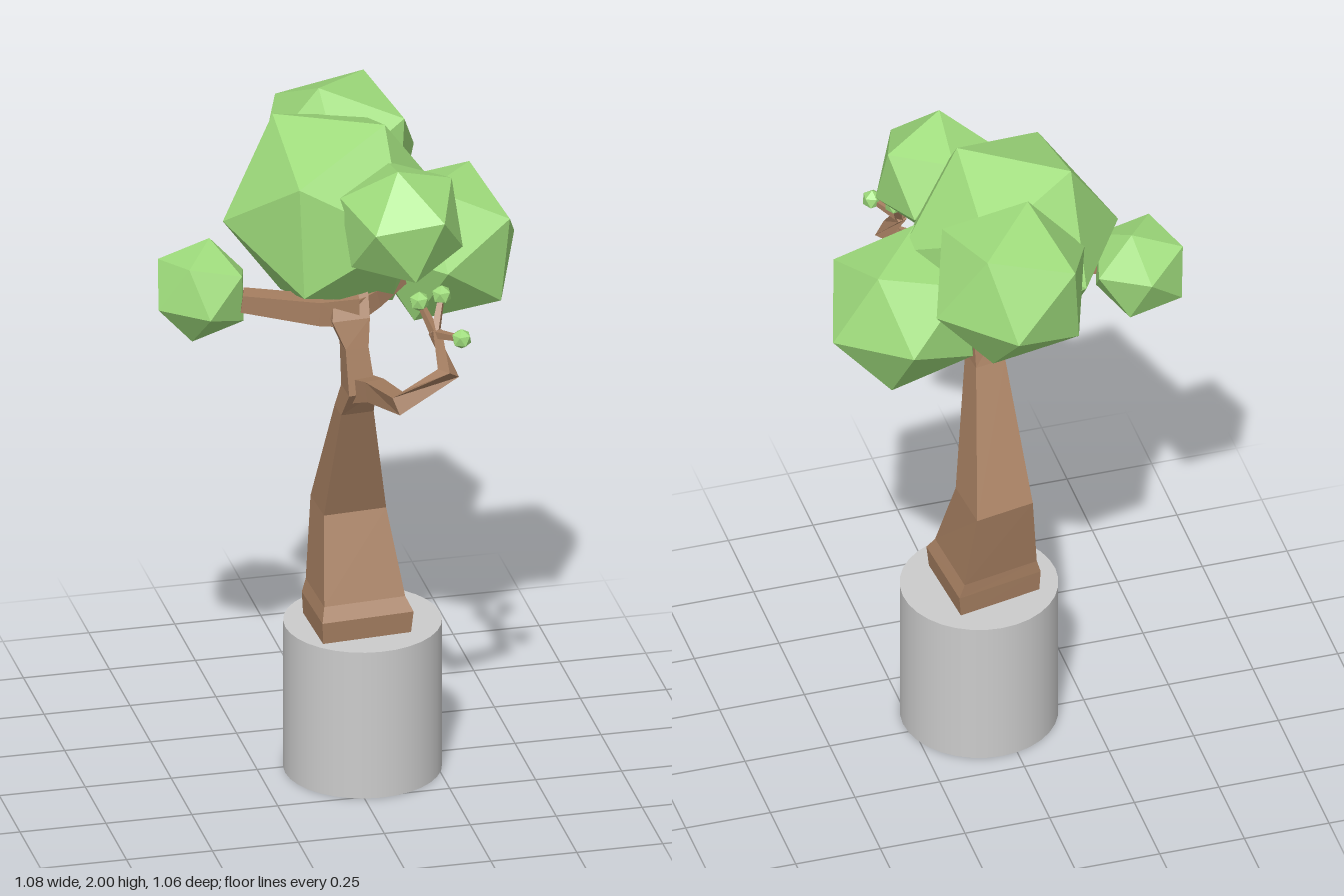
import * as THREE from 'three';

const vec = (a) => new THREE.Vector3(a[0], a[1], a[2]);

// Lofts four-sided rings along a path. Section: [x, y, z, halfWidth, halfDepth]
function loft(sections, { ref = [0, 1, 0], shape = [[-1, -1], [1, -1], [1, 1], [-1, 1]], fixed } = {}) {
  const pts = sections.map(vec), pos = [], idx = [], n = shape.length;
  pts.forEach((p, k) => {
    const t = fixed ? vec(fixed) : new THREE.Vector3();
    if (!fixed) {
      if (k > 0) t.add(p.clone().sub(pts[k - 1]).normalize());
      if (k < pts.length - 1) t.add(pts[k + 1].clone().sub(p).normalize());
    }
    t.normalize();
    const u = t.clone().cross(vec(ref)).normalize();
    const v = t.clone().cross(u);
    for (const [a, b] of shape) {
      const q = p.clone().addScaledVector(u, a * sections[k][3]).addScaledVector(v, b * sections[k][4]);
      pos.push(q.x, q.y, q.z);
    }
    if (k === 0) return;
    for (let i = 0; i < n; i++) {
      const a = (k - 1) * n + i, b = (k - 1) * n + (i + 1) % n;
      idx.push(a, b, b + n, a, b + n, a + n);
    }
  });
  const e = (pts.length - 1) * n;
  idx.push(0, 2, 1, 0, 3, 2, e, e + 1, e + 2, e, e + 2, e + 3);
  const g = new THREE.BufferGeometry();
  g.setAttribute('position', new THREE.Float32BufferAttribute(pos, 3));
  g.setIndex(idx);
  const flat = g.toNonIndexed();
  flat.computeVertexNormals();
  return flat;
}

// Twenty-sided leaf ball, turned so that one of its edges runs from a to b
function leafBall(center, r, a, b) {
  const c = vec(center), va = vec(a).sub(c).normalize(), vb = vec(b).sub(c).normalize();
  const x = vb.clone().sub(va).normalize();
  const y = va.add(vb).normalize();
  y.addScaledVector(x, -y.dot(x)).normalize();
  const m = new THREE.Matrix4().makeBasis(x, y, x.clone().cross(y)).setPosition(c);
  return new THREE.IcosahedronGeometry(r, 0).applyMatrix4(m);
}

export function createModel() {
  const model = new THREE.Group();
  const bark = new THREE.MeshStandardMaterial({ color: 0xa67f61, flatShading: true });
  const leaf = new THREE.MeshStandardMaterial({ color: 0x9fdc7c, flatShading: true });
  const grey = new THREE.MeshStandardMaterial({ color: 0xcccccc });
  const add = (name, geometry, material) => {
    const mesh = new THREE.Mesh(geometry, material);
    mesh.name = name;
    model.add(mesh);
  };

  // Pot
  add('pot', new THREE.CylinderGeometry(0.225, 0.225, 0.455, 32).translate(0.047, 0.2275, 0.04), grey);

  // Leaning trunk with a flared foot
  add('trunk', loft([
    [0.03, 0.45, 0.04, 0.13, 0.135],
    [0.032, 0.52, 0.04, 0.135, 0.14],
    [0.028, 0.56, 0.03, 0.12, 0.125],
    [0.022, 0.8, -0.03, 0.092, 0.09],
    [-0.003, 1.17, 0.145, 0.048, 0.045],
    [0, 1.25, 0.185, 0.04, 0.055],
    [-0.008, 1.38, 0.165, 0.034, 0.042],
    [-0.02, 1.46, 0.145, 0.055, 0.04],
    [0, 1.6, 0.06, 0.045, 0.035],
  ], { ref: [0, 0, 1], fixed: [0, 1, 0], shape: [[-1, -1], [1, -0.85], [0.85, 1], [-1.05, 0.6]] }), bark);

  // Branches
  add('sideBranch', loft([
    [0.01, 1.475, 0.14, 0.035, 0.045], [-0.1, 1.475, 0.125, 0.032, 0.036], [-0.31, 1.503, 0.068, 0.03, 0.026],
  ]), bark);
  add('shortBranch', loft([
    [-0.02, 1.47, 0.14, 0.03, 0.035], [0.06, 1.49, 0.1, 0.028, 0.028], [0.17, 1.53, 0.03, 0.025, 0.025],
  ]), bark);
  add('frontBranch', loft([
    [0, 1.24, 0.17, 0.035, 0.038], [0.025, 1.285, 0.29, 0.029, 0.029],
    [0.055, 1.325, 0.475, 0.026, 0.027], [0.19, 1.41, 0.485, 0.022, 0.024],
    [0.168, 1.51, 0.415, 0.014, 0.016],
  ]), bark);

  // Twigs, each ending in a tiny leaf ball
  for (const tip of [[0.225, 1.52, 0.5], [0.133, 1.588, 0.37], [0.2, 1.597, 0.362]]) {
    add('twig', loft([[0.168, 1.505, 0.418, 0.011, 0.011], [...tip, 0.007, 0.007]]), bark);
    const [x, y, z] = tip;
    add('tinyLeafBall', leafBall(tip, 0.03, [x, y + 0.03, z], [x + 0.02, y + 0.013, z + 0.018]), leaf);
  }

  // Crown: centre, radius and one edge of each ball
  const crown = {
    mainLeafBall: [[-0.025, 1.721, -0.024], 0.319, [-0.176, 1.985, -0.12], [0.107, 2.0, 0.057]],
    backLeafBall: [[0.054, 1.766, -0.294], 0.247, [0.16, 1.95, -0.42], [-0.015, 1.995, -0.234]],
    leftLeafBall: [[0.302, 1.562, -0.063], 0.24, [0.405, 1.757, -0.16], [0.53, 1.537, -0.134]],
    frontLeafBall: [[0.112, 1.778, 0.241], 0.19, [0.09, 1.96, 0.29], [0.2, 1.835, 0.4]],
    rightLeafBall: [[-0.413, 1.513, -0.005], 0.15, [-0.38, 1.65, -0.04], [-0.537, 1.605, -0.066]],
  };
  for (const [name, ball] of Object.entries(crown)) add(name, leafBall(...ball), leaf);

  return model;
}
